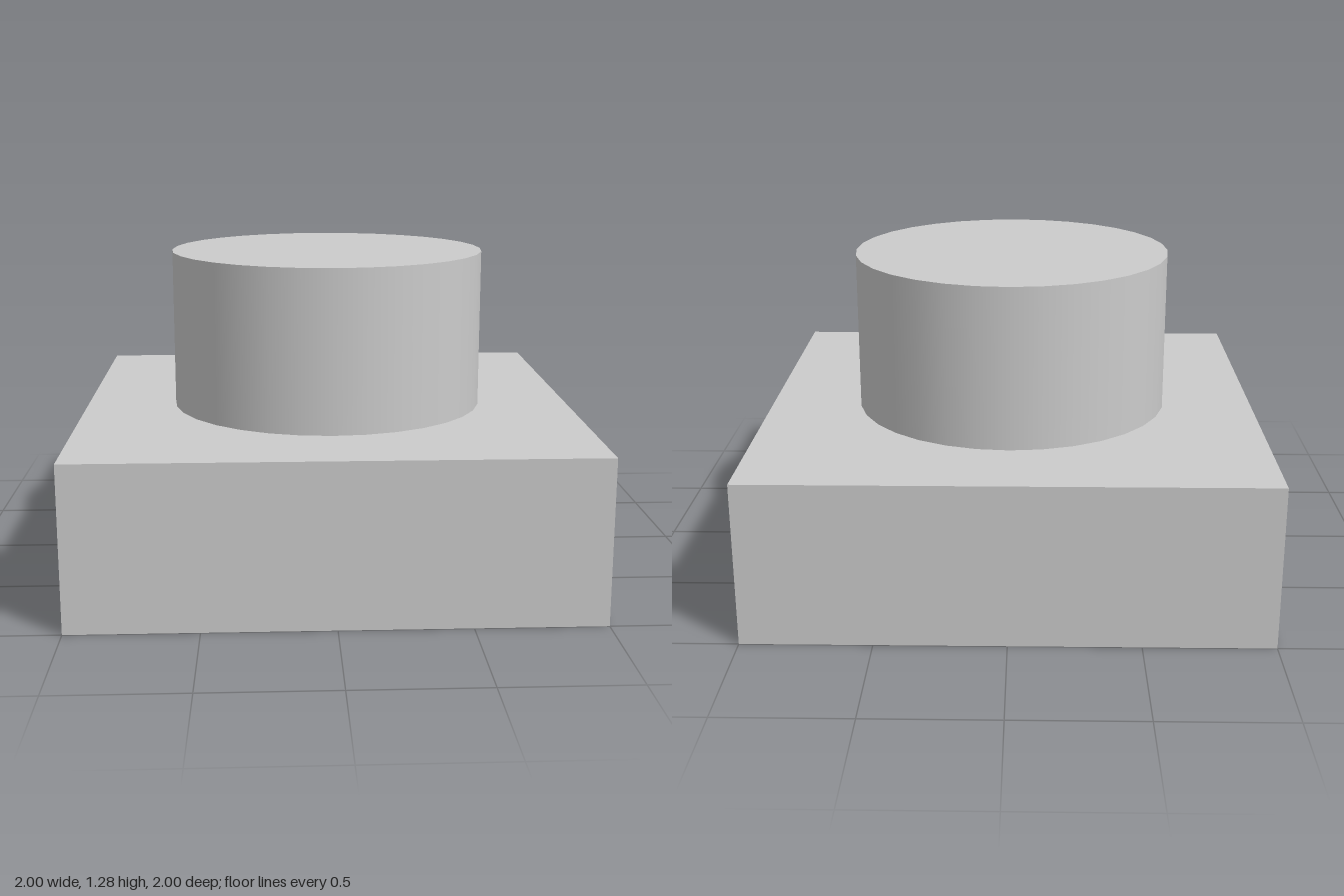
import * as THREE from 'three';

export function createModel() {
  const group = new THREE.Group();
  const material = new THREE.MeshStandardMaterial({ color: 0xcccccc });
  const baseHeight = 0.64, studHeight = 0.64, studRadius = 0.64;

  const add = (name, geometry, y) => {
    const mesh = new THREE.Mesh(geometry, material);
    mesh.name = name;
    mesh.position.y = y;
    group.add(mesh);
  };

  // Square block standing on the ground
  add('base', new THREE.BoxGeometry(2, baseHeight, 2), baseHeight / 2);

  // Round stud centred on top of the block
  add('stud', new THREE.CylinderGeometry(studRadius, studRadius, studHeight, 32), baseHeight + studHeight / 2);

  return group;
}
